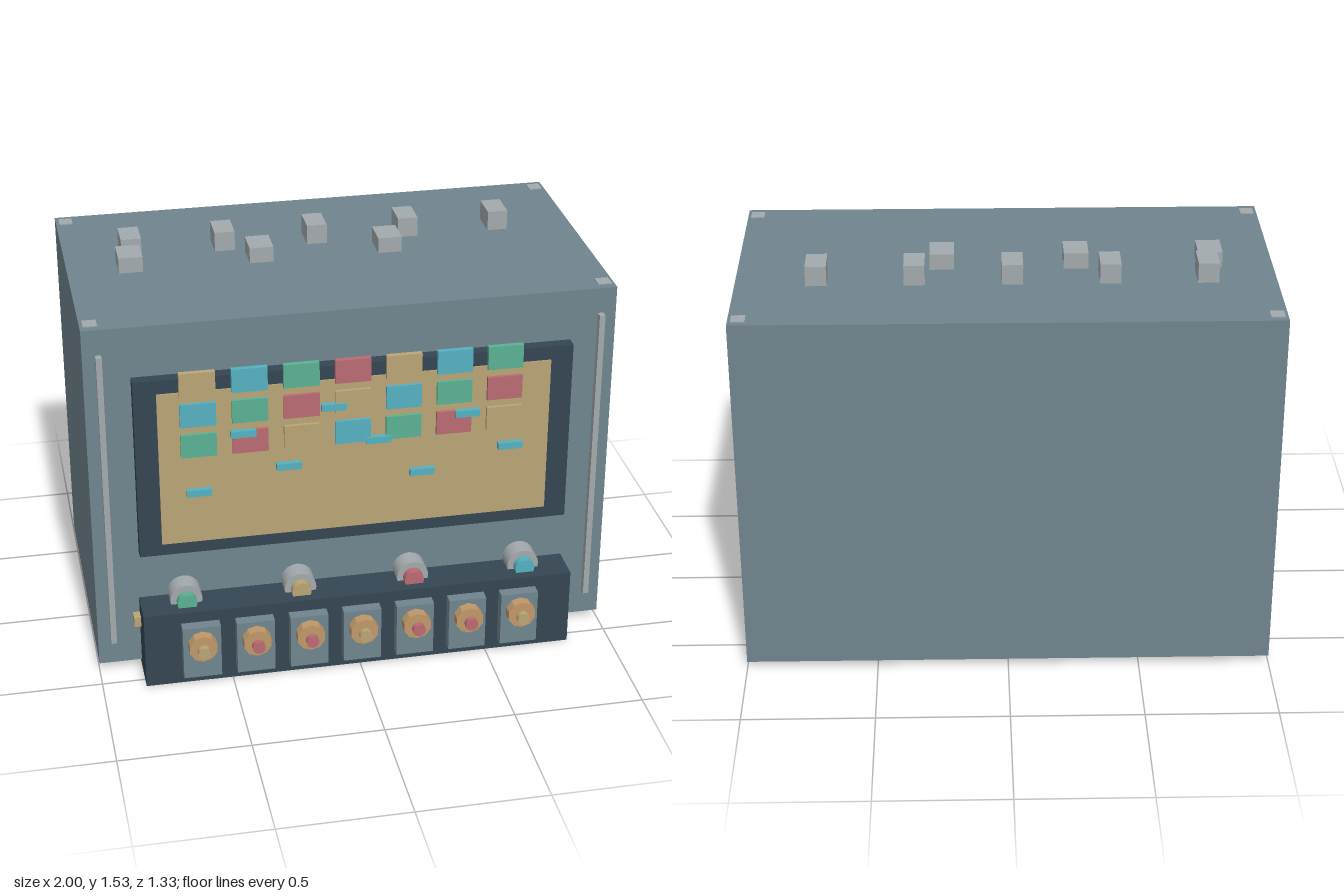
import * as THREE from 'three';

const mat = (name, color, flatShading = false) => {
  const m = new THREE.MeshStandardMaterial({ color, flatShading });
  m.name = name;
  return m;
};

export function createModel() {
  const root = new THREE.Group();
  root.name = 'controlCabinet';

  const steel = mat('blueGreySteel', 0x70858e);
  const navy = mat('darkNavy', 0x344552);
  const sand = mat('sand', 0xbaa676);
  const teal = mat('teal', 0x56b1c1);
  const green = mat('green', 0x5cb295);
  const red = mat('red', 0xbb6b73);
  const grey = mat('lightGrey', 0xa3aaad);
  const bronze = mat('bronze', 0xc0996a, true);

  const group = (name) => {
    const g = new THREE.Group();
    g.name = name;
    root.add(g);
    return g;
  };

  // Box given by its extents on each axis
  const box = (parent, name, material, [x0, x1], [y0, y1], [z0, z1]) => {
    const m = new THREE.Mesh(new THREE.BoxGeometry(x1 - x0, y1 - y0, z1 - z0), material);
    m.name = name;
    m.position.set((x0 + x1) / 2, (y0 + y1) / 2, (z0 + z1) / 2);
    parent.add(m);
  };
  const span = (centre, size) => [centre - size / 2, centre + size / 2];

  // Cylinder pointing forward, from z0 to z1
  const disc = (parent, name, material, x, y, r, z0, z1, sides) => {
    const geo = new THREE.CylinderGeometry(r, r, z1 - z0, sides).rotateX(Math.PI / 2);
    const m = new THREE.Mesh(geo, material);
    m.name = name;
    m.position.set(x, y, (z0 + z1) / 2);
    parent.add(m);
  };

  // Cabinet and the console at its foot
  box(root, 'cabinet', steel, [-1, 1], [0.03, 1.453], [-0.664, 0.402]);
  box(root, 'console', navy, [-0.835, 0.835], [0, 0.312], [0.28, 0.547]);

  // Vertical front rails and console side pegs
  for (const s of [-1, 1]) {
    box(root, 'frontRail', grey, span(s * 0.941, 0.022), [0.132, 1.352], [0.4, 0.43]);
    box(root, 'sidePeg', sand, span(s * 0.845, 0.032), [0.207, 0.248], [0.4, 0.445]);
  }

  // Display frame and panel
  const display = group('display');
  box(display, 'displayFrame', navy, [-0.828, 0.828], [0.517, 1.252], [0.4, 0.448]);
  box(display, 'displayPanel', sand, [-0.743, 0.743], [0.566, 1.198], [0.445, 0.453]);

  // Coloured tiles, the colours shifting by one on each row
  const tileColours = [sand, teal, green, red];
  for (let row = 0; row < 3; row++) {
    for (let col = 0; col < 7; col++) {
      box(display, 'tile', tileColours[(row + col) % 4],
        span(-0.594 + col * 0.193, 0.134), span(1.232 - row * 0.126, 0.094), [0.445, 0.466]);
    }
  }

  // Small scattered marker bars
  for (let i = 0; i < 8; i++) {
    box(display, 'markerBar', teal,
      span(-0.598 + i * 0.17, 0.094), span(0.783 + ((i * 3) % 5) * 0.077, 0.027), [0.447, 0.474]);
  }

  // Indicator lamps behind the console
  const lamps = group('lamps');
  [green, sand, red, teal].forEach((colour, i) => {
    const x = -0.662 + i * 0.441;
    disc(lamps, 'lampBezel', grey, x, 0.328, 0.062, 0.4, 0.478, 20);
    disc(lamps, 'lampLens', colour, x, 0.328, 0.038, 0.47, 0.51, 16);
  });

  // Console dials: backplate, knob, thin stem and coloured cap
  const dials = group('dials');
  for (let i = 0; i < 7; i++) {
    const x = (i - 3) * 0.207;
    box(dials, 'dialPlate', steel, span(x, 0.146), [0.047, 0.267], [0.54, 0.591]);
    disc(dials, 'dialKnob', bronze, x, 0.196, 0.055, 0.585, 0.631, 10);
    disc(dials, 'dialStem', bronze, x, 0.196, 0.01, 0.63, 0.645, 8);
    disc(dials, 'dialCap', i % 3 ? red : sand, x, 0.196, 0.025, 0.642, 0.664, 12);
  }

  // Roof blocks in two rows
  const roof = group('roof');
  for (let i = 0; i < 5; i++) {
    box(roof, 'tallRoofBlock', grey, span(-0.744 + i * 0.361, 0.078), [1.45, 1.53], [-0.332, -0.212]);
  }
  for (let i = 0; i < 3; i++) {
    box(roof, 'lowRoofBlock', grey, span(-0.762 + i * 0.5, 0.092), [1.45, 1.514], [-0.193, -0.075]);
  }

  // Thin corner plates on the roof
  for (const x of [-0.962, 0.962]) {
    for (const z of [-0.612, 0.346]) {
      box(roof, 'cornerPlate', grey, span(x, 0.052), [1.451, 1.457], span(z, 0.052));
    }
  }

  return root;
}
